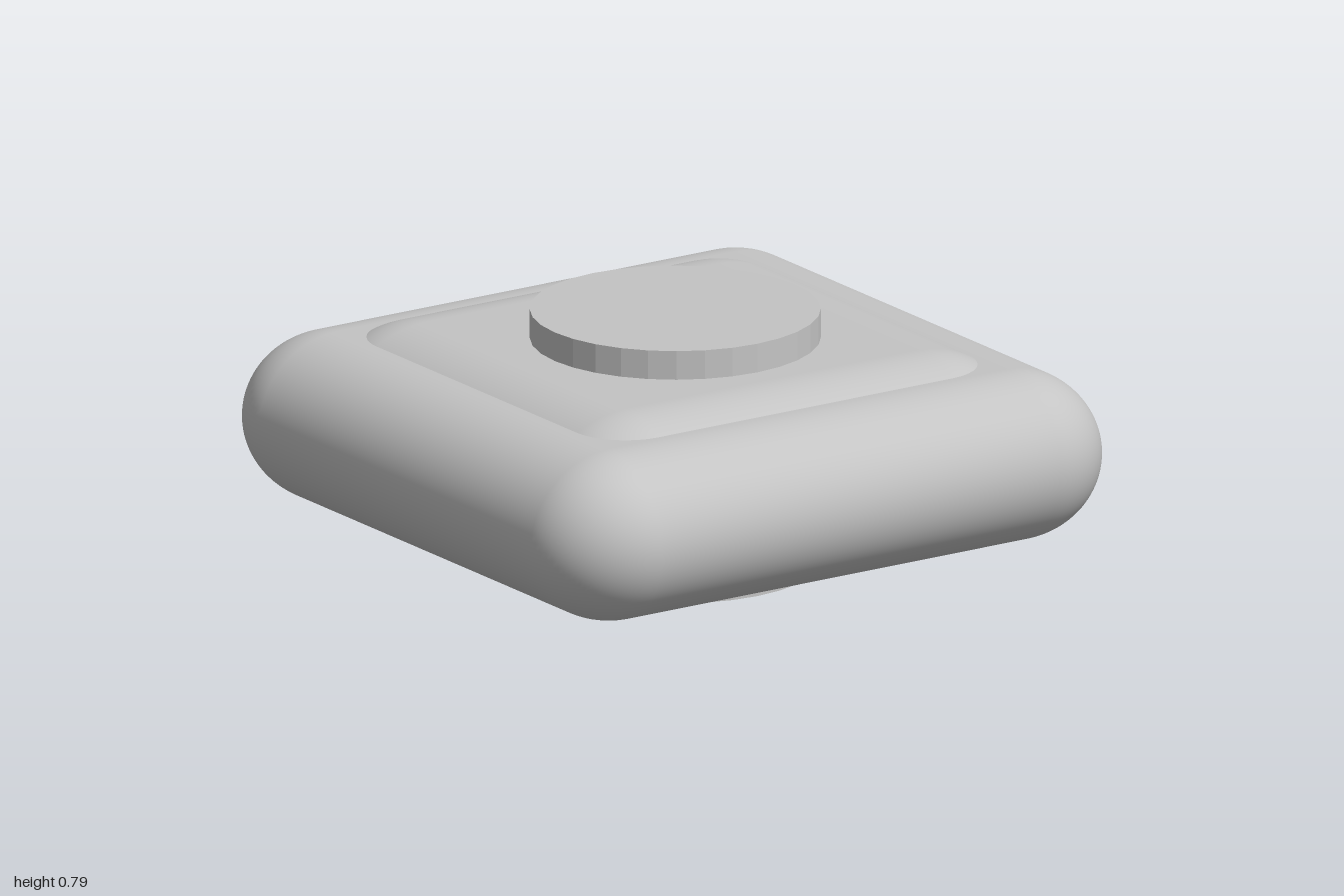
import * as THREE from 'three';
import { RoundedBoxGeometry } from 'three/addons/geometries/RoundedBoxGeometry.js';

const MID_Y = 0.393;

// Square pillow with fully rounded sides: an edge of the given radius, squashed to the given height
function pillow(width, height, radius, material, name) {
  const geometry = new RoundedBoxGeometry(width, radius * 2, width, 12, radius);
  geometry.scale(1, height / (radius * 2), 1);
  const mesh = new THREE.Mesh(geometry, material);
  mesh.position.y = MID_Y;
  mesh.name = name;
  return mesh;
}

export function createModel() {
  const group = new THREE.Group();
  group.name = 'cushionedBlock';

  const grey = new THREE.MeshStandardMaterial({ color: 0xc4c4c4 });
  grey.name = 'light grey';
  const facetedGrey = grey;

  // Wide outer body
  group.add(pillow(2, 0.52, 0.28, grey, 'outerBody'));

  // Narrower, thicker core that bulges out above and below
  group.add(pillow(1.73, 0.608, 0.335, grey, 'raisedCore'));

  // Round hub through the middle, with faceted sides
  const hubGeometry = new THREE.CylinderGeometry(0.434, 0.434, MID_Y * 2, 32).toNonIndexed();
  hubGeometry.computeVertexNormals();
  const hub = new THREE.Mesh(hubGeometry, facetedGrey);
  hub.position.set(0.005, MID_Y, 0.01);
  hub.name = 'hub';
  group.add(hub);

  return group;
}
